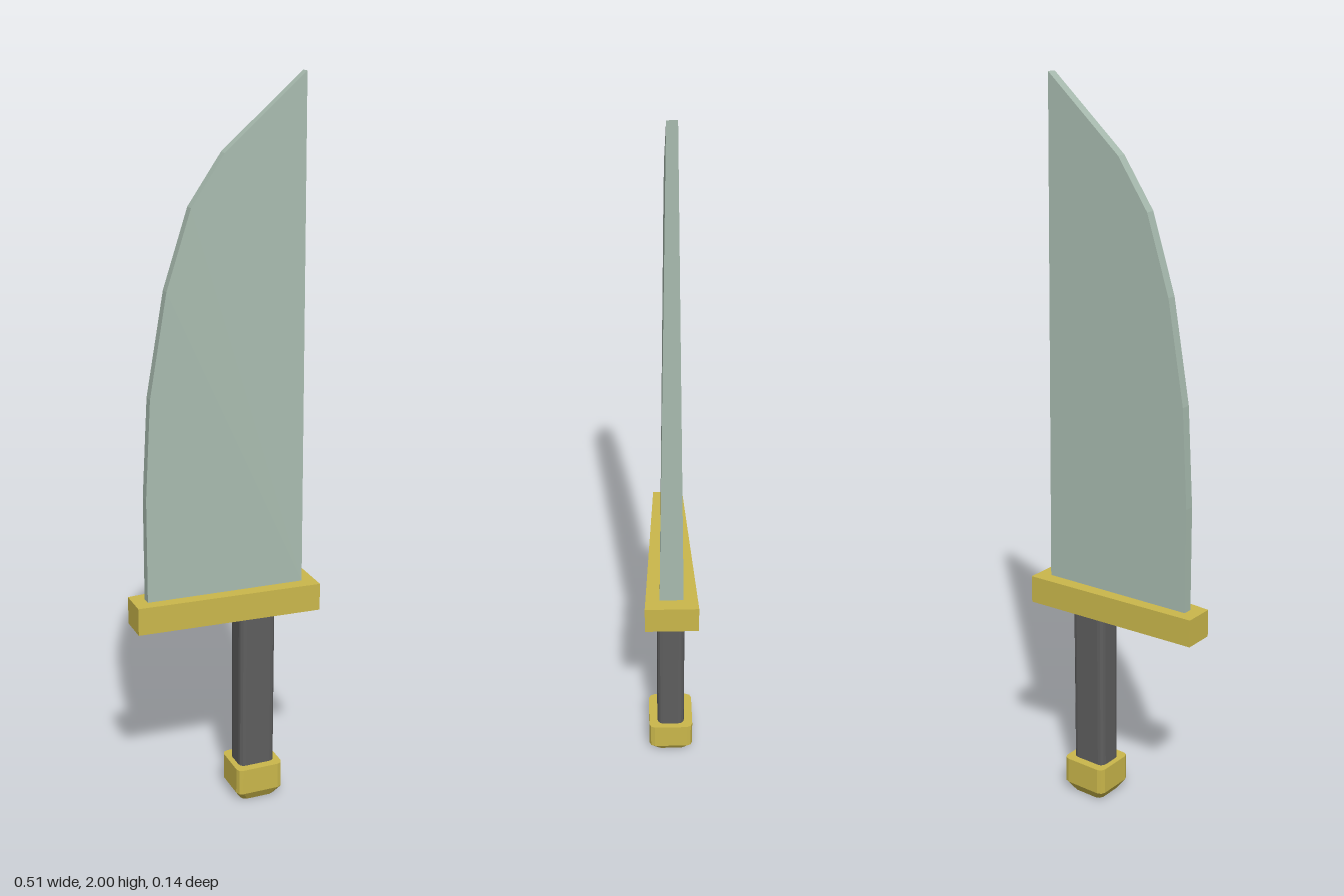
import * as THREE from 'three';

// Solid from rings of points, counter-clockwise seen from the last ring's side; ends closed by fans.
function loft(rings) {
  const pos = [];
  const tri = (a, b, c) => pos.push(...a, ...b, ...c);
  const n = rings[0].length;
  for (let r = 0; r < rings.length - 1; r++) {
    const a = rings[r], b = rings[r + 1];
    for (let i = 0; i < n; i++) {
      const j = (i + 1) % n;
      tri(a[i], a[j], b[j]);
      tri(a[i], b[j], b[i]);
    }
  }
  const first = rings[0], last = rings[rings.length - 1];
  for (let i = 1; i < n - 1; i++) {
    tri(first[0], first[i + 1], first[i]);
    tri(last[0], last[i], last[i + 1]);
  }
  const geometry = new THREE.BufferGeometry();
  geometry.setAttribute('position', new THREE.Float32BufferAttribute(pos, 3));
  geometry.computeVertexNormals();
  return geometry;
}

// Horizontal rectangle ring with rounded corners, centred on the grip axis.
function roundedRing(y, halfX, halfZ, radius, steps) {
  const ring = [];
  const corners = [[1, 1], [-1, 1], [-1, -1], [1, -1]];
  corners.forEach(([sx, sz], k) => {
    for (let i = 0; i <= steps; i++) {
      const t = (k + i / steps) * Math.PI / 2;
      ring.push([
        GRIP_X + sx * (halfX - radius) + radius * Math.cos(t),
        y,
        -(sz * (halfZ - radius) + radius * Math.sin(t)),
      ]);
    }
  });
  return ring;
}

const GRIP_X = 0.09;

export function createModel() {
  const steel = new THREE.MeshStandardMaterial({ name: 'paleSteel', color: 0xa8bbaf });
  const brass = new THREE.MeshStandardMaterial({ name: 'brass', color: 0xcab74b });
  const leather = new THREE.MeshStandardMaterial({ name: 'darkGrip', color: 0x5e5e5e });

  const group = new THREE.Group();
  group.name = 'knife';
  const add = (name, geometry, material) => {
    const mesh = new THREE.Mesh(geometry, material);
    mesh.name = name;
    group.add(mesh);
  };

  // Blade: thickest at the foot of the spine, even along the curved edge
  const outline = [
    [0.22, 0.64], [0.22, 2], [0, 1.81], [-0.09, 1.68],
    [-0.157, 1.475], [-0.205, 1.2], [-0.22, 0.93], [-0.22, 0.64],
  ];
  const side = (s) => outline.map(([x, y], i) => [x, y, s * (i === 0 ? 0.032 : 0.013)]);
  add('blade', loft([side(-1), side(1)]), steel);

  // Guard: bar that widens towards the spine
  const guardRing = (y) => [
    [0.257, y, 0.072], [0.257, y, -0.072], [-0.257, y, -0.042], [-0.257, y, 0.042],
  ];
  add('guard', loft([guardRing(0.563), guardRing(0.64)]), brass);

  // Handle
  add('handle', loft([0.09, 0.57].map((y) => roundedRing(y, 0.052, 0.038, 0.016, 3))), leather);

  // Pommel with a bevelled underside
  add('pommel', loft([
    roundedRing(0, 0.05, 0.046, 0.016, 2),
    roundedRing(0.027, 0.068, 0.062, 0.016, 2),
    roundedRing(0.102, 0.068, 0.062, 0.016, 2),
  ]), brass);

  return group;
}
